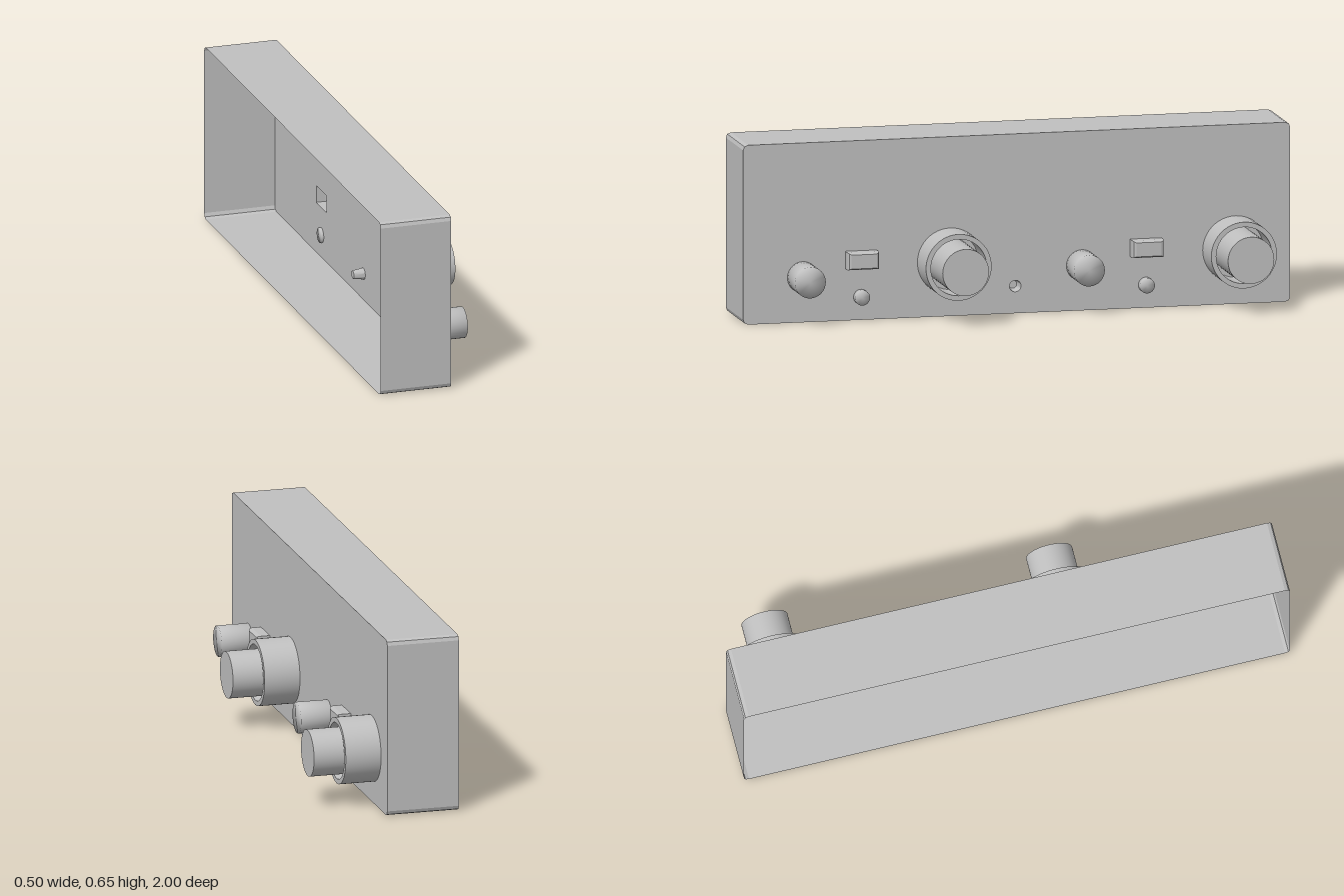
import * as THREE from 'three';
import { mergeVertices, toCreasedNormals } from 'three/addons/utils/BufferGeometryUtils.js';

const BACK = -0.252, FACE = 0.0125, HEIGHT = 0.648, CORNER = 0.018;

const grey = new THREE.MeshStandardMaterial({ color: 0xc0c0c0 });
grey.name = 'light grey';
grey.side = THREE.DoubleSide; // thin open shell

// Rounded outline of the housing as (z, y) points, two facets per corner
function outline() {
  const pts = [];
  const w = 1 - CORNER, h = HEIGHT - CORNER;
  [[w, h], [-w, h], [-w, CORNER], [w, CORNER]].forEach(([cz, cy], i) => {
    for (let k = 0; k <= 2; k++) {
      const a = (i + k / 2) * Math.PI / 2;
      pts.push(new THREE.Vector2(cz + CORNER * Math.cos(a), cy + CORNER * Math.sin(a)));
    }
  });
  return pts;
}

// Flat-shaded band of walls between the back edge and the face
function wallGeometry(pts) {
  const pos = [];
  pts.forEach((p, i) => {
    const q = pts[(i + 1) % pts.length];
    const a = [BACK, p.y, p.x], b = [BACK, q.y, q.x];
    const c = [FACE, q.y, q.x], d = [FACE, p.y, p.x];
    pos.push(...a, ...c, ...b, ...a, ...d, ...c);
  });
  const g = new THREE.BufferGeometry();
  g.setAttribute('position', new THREE.Float32BufferAttribute(pos, 3));
  g.computeVertexNormals();
  return g;
}

// Turned part along x, from [radius, x] pairs, with sharp edges kept
function turned(profile, segments = 48, start = 0) {
  const g = new THREE.LatheGeometry(profile.map(([r, x]) => new THREE.Vector2(r, x)), segments, start);
  g.rotateZ(-Math.PI / 2);
  return g;
}

// Cylinder along x whose normals flow over the rim
function softStub(r, x0, x1) {
  let g = new THREE.CylinderGeometry(r, r, x1 - x0, 32);
  g.deleteAttribute('normal');
  g.deleteAttribute('uv');
  g = mergeVertices(g);
  g.computeVertexNormals();
  g.rotateZ(-Math.PI / 2);
  g.translate((x0 + x1) / 2, 0, 0);
  return g;
}

export function createModel() {
  const model = new THREE.Group();
  model.name = 'controlPanel';

  const add = (name, geometry, y = 0, z = 0) => {
    const m = new THREE.Mesh(geometry, grey);
    m.name = name;
    m.position.set(0, y, z);
    model.add(m);
  };

  const switchY = 0.2185, switchH = 0.0315, switchW = 0.0575;
  const socketY = 0.098, socketZ = 0.005, socketR = 0.021;
  const columns = [0.569, -0.472];

  // Housing walls, open at the back
  const pts = outline();
  add('housingWalls', wallGeometry(pts));

  // Front panel with openings for the switches and the socket
  const panel = new THREE.Shape(pts.map(p => new THREE.Vector2(-p.x, p.y)));
  columns.forEach(z => {
    panel.holes.push(new THREE.Path([[-1, -1], [-1, 1], [1, 1], [1, -1]].map(
      ([u, v]) => new THREE.Vector2(-z + u * switchW, switchY + v * switchH))));
  });
  panel.holes.push(new THREE.Path().absarc(-socketZ, socketY, socketR, 0, Math.PI * 2, true));
  const panelGeometry = new THREE.ShapeGeometry(panel, 12);
  panelGeometry.rotateY(Math.PI / 2);
  panelGeometry.translate(FACE, 0, 0);
  add('frontPanel', panelGeometry);

  // Large push knobs: hollow collar around a plunger
  const collar = toCreasedNormals(turned([[0.12, FACE], [0.12, 0.143], [0.102, 0.143], [0.102, FACE]]), 0.6);
  const plunger = toCreasedNormals(turned([[0.0845, FACE], [0.0845, 0.25], [0, 0.25]]), 0.6);
  [0.243, -0.8].forEach(z => {
    add('knobCollar', collar, 0.198, z);
    add('knobPlunger', plunger, 0.198, z);
  });

  // Round dials
  const dial = softStub(0.0565, FACE + 0.001, 0.128);
  [0.782, -0.238].forEach(z => add('dial', dial, 0.163, z));

  // Hollow bevelled switches with a small indicator below each
  const cap = turned([[1, FACE], [1, 0.046], [0.93, 0.056], [0.8, 0.06], [0, 0.06]], 4, Math.PI / 4);
  cap.scale(1, switchH * Math.SQRT2, switchW * Math.SQRT2);
  const switchCap = toCreasedNormals(cap, 0.1);
  const indicator = softStub(0.0275, 0.004, 0.036);
  columns.forEach(z => {
    add('switchCap', switchCap, switchY, z);
    add('indicator', indicator, 0.083, z);
  });

  // Tapered socket sunk behind the panel
  const socket = toCreasedNormals(turned([[0, -0.028], [0.015, -0.028], [socketR, FACE]], 24), 0.6);
  add('socket', socket, socketY, socketZ);

  return model;
}
